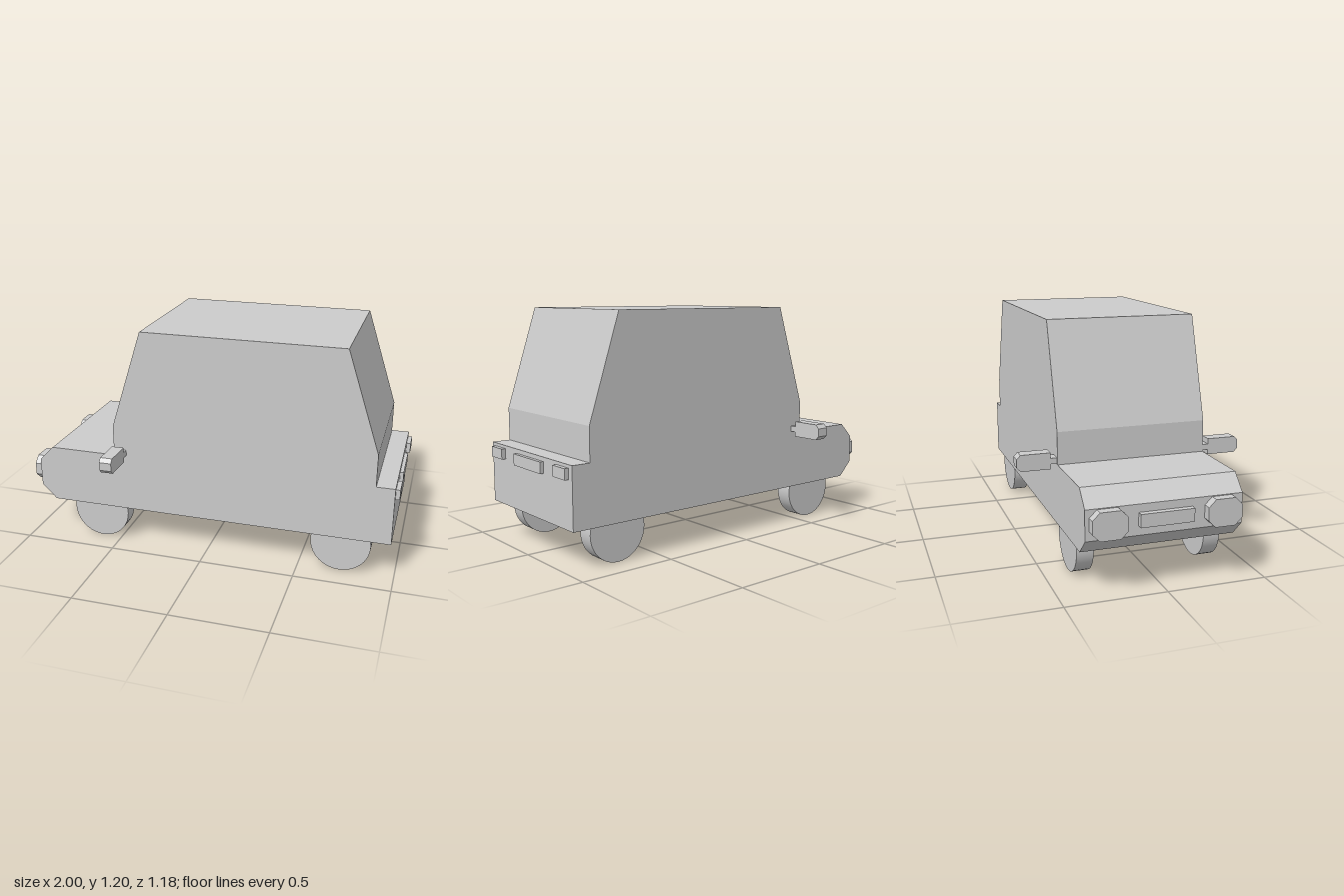
import * as THREE from 'three';

const grey = new THREE.MeshStandardMaterial({ color: 0xcccccc, flatShading: true });
const smoothGrey = new THREE.MeshStandardMaterial({ color: 0xcccccc });

// Extrudes an outline along z, centred on z = 0
function extrude(points, depth) {
  const shape = new THREE.Shape(points.map(([x, y]) => new THREE.Vector2(x, y)));
  return new THREE.ExtrudeGeometry(shape, { depth, bevelEnabled: false }).translate(0, 0, -depth / 2);
}

// Rectangle outline with its corners cut off
function chamferedRect(w, h, c) {
  const x = w / 2, y = h / 2;
  return [[-x + c, -y], [x - c, -y], [x, -y + c], [x, y - c], [x - c, y], [-x + c, y], [-x, y - c], [-x, -y + c]];
}

export function createModel() {
  const car = new THREE.Group();
  car.name = 'car';

  function add(name, geometry, x, y, z, parent = car, material = grey) {
    const mesh = new THREE.Mesh(geometry, material);
    mesh.name = name;
    mesh.position.set(x, y, z);
    parent.add(mesh);
    return mesh;
  }

  // Body and cabin as one side profile, nose towards -x
  add('body', extrude([
    [-0.875, 0.2], [0.975, 0.2], [0.975, 0.51], [0.88, 0.51], [0.88, 0.68], [0.71, 1.2],
    [-0.34, 1.2], [-0.51, 0.675], [-0.51, 0.51], [-0.875, 0.51], [-0.955, 0.43], [-0.955, 0.28],
  ], 0.775), 0, 0, 0);

  // Grille on the nose, number plate on the tail
  add('grille', new THREE.BoxGeometry(0.05, 0.065, 0.265), -0.96, 0.358, 0);
  add('numberPlate', new THREE.BoxGeometry(0.04, 0.058, 0.262), 0.973, 0.459, 0);

  const wheelGeometry = new THREE.CylinderGeometry(0.156, 0.156, 0.085, 40).rotateX(Math.PI / 2);
  const headlightGeometry = extrude(chamferedRect(0.172, 0.136, 0.036), 0.055).rotateY(Math.PI / 2);
  const tailLightGeometry = new THREE.BoxGeometry(0.04, 0.054, 0.107);

  // Mirror housing: flat towards the car, cut corners on the outer end
  const housingGeometry = extrude([
    [0.42, 0.49], [0.57, 0.49], [0.589, 0.51], [0.589, 0.553], [0.57, 0.573], [0.42, 0.573],
  ], 0.065).rotateY(-Math.PI / 2);
  const armGeometry = new THREE.BoxGeometry(0.065, 0.03, 0.06);

  for (const side of [1, -1]) {
    const label = side > 0 ? 'Left' : 'Right';
    add('frontWheel' + label, wheelGeometry, -0.61, 0.16, side * 0.327, car, smoothGrey);
    add('rearWheel' + label, wheelGeometry, 0.718, 0.16, side * 0.327, car, smoothGrey);
    add('headlight' + label, headlightGeometry, -0.9725, 0.358, side * 0.281);
    add('tailLight' + label, tailLightGeometry, 0.977, 0.467, side * 0.304);

    // Door mirror, turned half round for the far side
    const mirror = new THREE.Group();
    mirror.name = 'mirror' + label;
    mirror.position.x = -0.473;
    if (side < 0) mirror.rotation.y = Math.PI;
    add('mirrorHousing', housingGeometry, 0, 0, 0, mirror);
    add('mirrorArm', armGeometry, 0, 0.53, 0.4, mirror);
    car.add(mirror);
  }
  return car;
}
